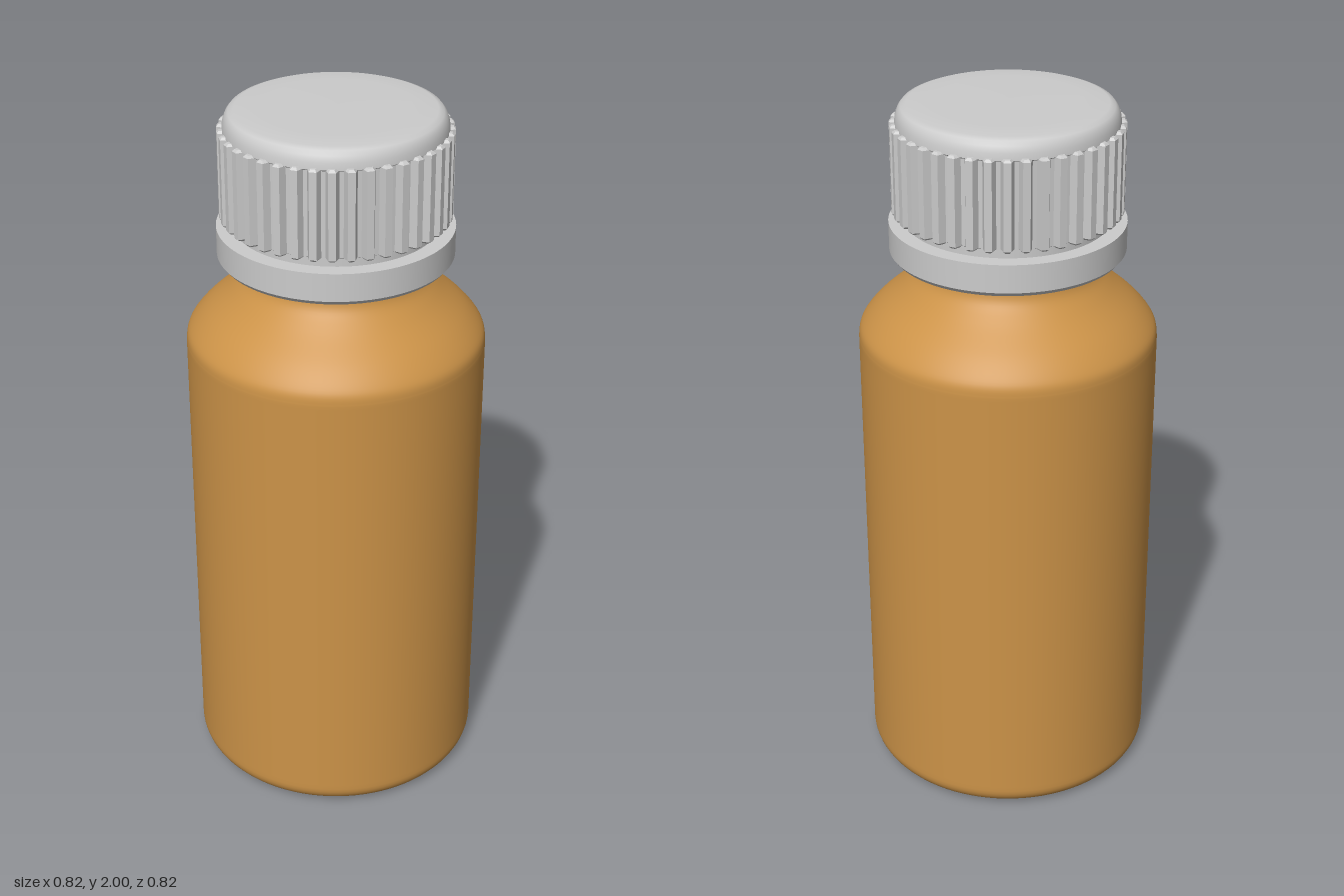
import * as THREE from 'three';

const V = (x, y) => new THREE.Vector2(x, y);

// Lathe a profile (bottom to top on the outside); doubled points give sharp edges
function turned(name, points, material) {
  const mesh = new THREE.Mesh(new THREE.LatheGeometry(points, 96), material);
  mesh.name = name;
  return mesh;
}

const sharp = (pts) => pts.flatMap(([x, y]) => [V(x, y), V(x, y)]).slice(1, -1);

// Quarter-circle corner points
function fillet(cx, cy, r, from, to, n = 8) {
  return Array.from({ length: n + 1 }, (_, i) => {
    const a = from + ((to - from) * i) / n;
    return V(cx + r * Math.cos(a), cy + r * Math.sin(a));
  });
}

// Gear outline for the grip ridges
function gearShape(teeth, inner, outer) {
  const shape = new THREE.Shape();
  const step = (Math.PI * 2) / teeth;
  const corners = [[-0.38, inner], [-0.2, outer], [0.2, outer], [0.38, inner]];
  for (let i = 0; i < teeth; i++) {
    corners.forEach(([t, r], k) => {
      const a = (i + t) * step;
      const x = r * Math.cos(a), y = r * Math.sin(a);
      if (i === 0 && k === 0) shape.moveTo(x, y);
      else shape.lineTo(x, y);
    });
  }
  shape.closePath();
  return shape;
}

export function createModel() {
  const group = new THREE.Group();
  group.name = 'bottle';
  const amber = new THREE.MeshStandardMaterial({ color: 0xcc9348 });
  const grey = new THREE.MeshStandardMaterial({ color: 0xcccccc });

  // Bottle: rounded base, straight wall, S-curved shoulder, neck with bead
  const shoulder = new THREE.SplineCurve([
    V(0.41, 1.34), V(0.402, 1.375), V(0.36, 1.425), V(0.285, 1.49),
    V(0.245, 1.535), V(0.235, 1.585),
  ]).getPoints(30);
  group.add(turned('bottleBody', [
    V(0, 0), V(0.35, 0),
    ...fillet(0.355, 0.055, 0.055, -Math.PI / 2, 0),
    V(0.41, 0.07), V(0.41, 1.33),
    ...shoulder,
    V(0.235, 1.6), V(0.255, 1.61), V(0.265, 1.63), V(0.255, 1.65), V(0.235, 1.66),
    V(0.235, 1.8), V(0.235, 1.8), V(0, 1.8),
  ], amber));

  // Tamper ring: hollow band below the cap
  group.add(turned('tamperRing', sharp([
    [0.275, 1.68], [0.275, 1.585], [0.31, 1.585], [0.32, 1.597],
    [0.32, 1.675], [0.27, 1.675],
  ]), grey));

  // Collar joining the ring to the cap
  group.add(turned('capCollar', sharp([
    [0.23, 1.66], [0.276, 1.66], [0.276, 1.71],
  ]), grey));

  // Cap: smooth drum with a rounded top edge
  group.add(turned('capBody', [
    V(0.23, 1.7), V(0.29, 1.7), V(0.29, 1.7), V(0.29, 1.94), V(0.29, 1.94),
    V(0.297, 1.945), V(0.297, 1.945),
    V(0.295, 1.963), V(0.289, 1.98), V(0.28, 1.991), V(0.265, 1.997),
    V(0.2, 1.999), V(0, 2),
  ], grey));

  // Grip ridges around the cap
  const bevel = 0.006;
  const ridges = new THREE.Mesh(
    new THREE.ExtrudeGeometry(gearShape(40, 0.291, 0.311), {
      depth: 0.25 - bevel * 2, bevelEnabled: true, bevelSegments: 1,
      bevelSize: bevel, bevelThickness: bevel, bevelOffset: -bevel,
    }),
    grey,
  );
  ridges.name = 'capRidges';
  ridges.rotation.x = -Math.PI / 2;
  ridges.position.y = 1.7 + bevel;
  group.add(ridges);

  return group;
}
